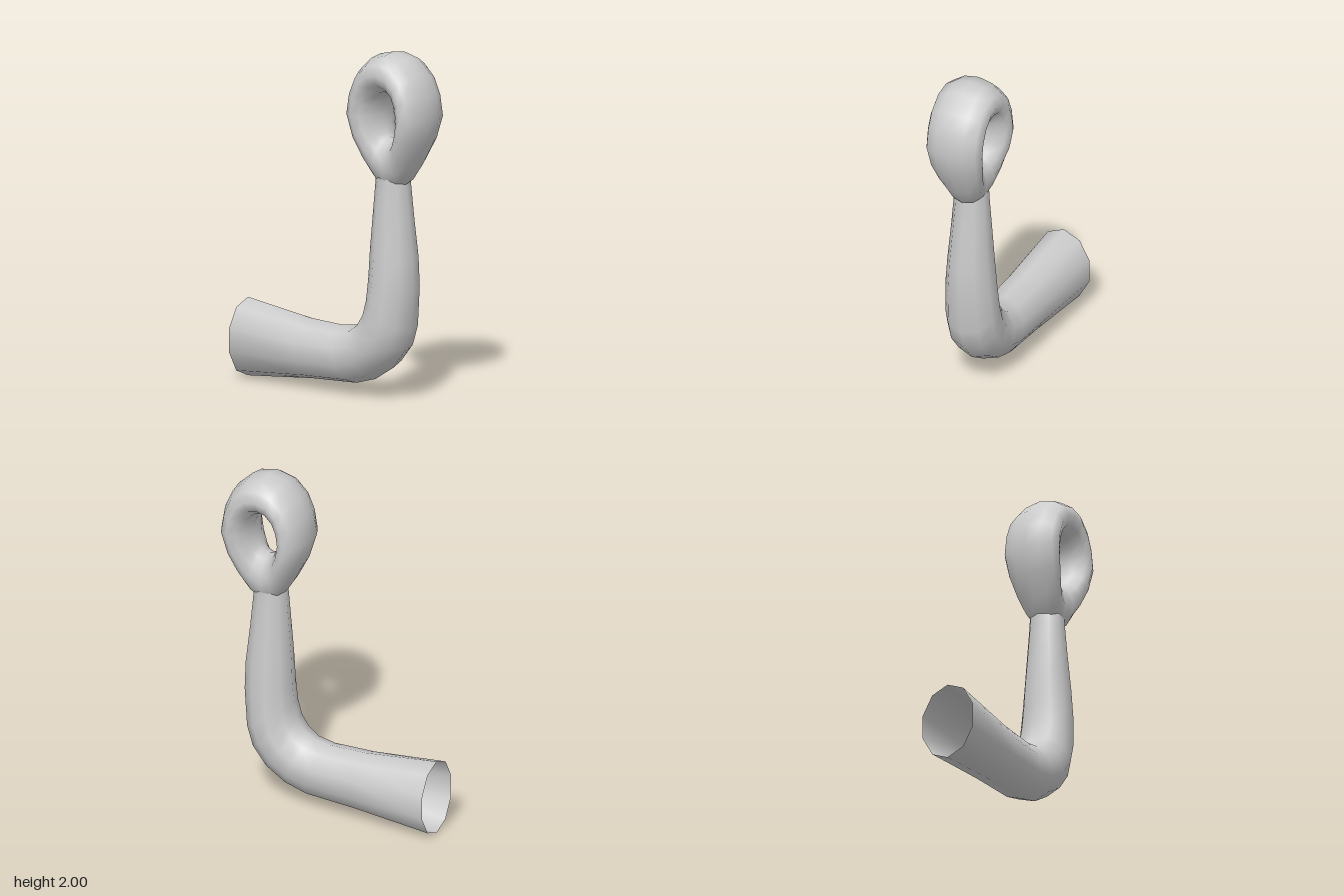
import * as THREE from 'three';

// Loft elliptical rings. Each station: [innerX, innerY, outerX, outerY, half depth in z].
function loft(stations, sides, closed) {
  const pos = [], index = [], n = stations.length;
  for (const [ax, ay, bx, by, w] of stations) {
    for (let j = 0; j < sides; j++) {
      const t = (j / sides) * Math.PI * 2, c = Math.cos(t) / 2;
      pos.push((ax + bx) / 2 + c * (bx - ax), (ay + by) / 2 + c * (by - ay), w * Math.sin(t));
    }
  }
  for (let i = 0; i < (closed ? n : n - 1); i++) {
    for (let j = 0; j < sides; j++) {
      const k = (j + 1) % sides, p = i * sides, q = ((i + 1) % n) * sides;
      index.push(p + j, q + j, p + k, p + k, q + j, q + k);
    }
  }
  const geo = new THREE.BufferGeometry();
  geo.setAttribute('position', new THREE.Float32BufferAttribute(pos, 3));
  geo.setIndex(index);
  geo.computeVertexNormals();
  return geo;
}

export function createModel() {
  const group = new THREE.Group();
  group.name = 'bentHook';
  const material = new THREE.MeshStandardMaterial({ color: 0xcccccc, side: THREE.DoubleSide });

  // Open-ended shank that bends upward and narrows to a neck
  const shank = new THREE.Mesh(loft([
    [-0.68, 0.45, -0.68, 0.0, 0.173],
    [-0.22, 0.39, -0.2, 0.045, 0.162],
    [0.02, 0.38, 0.12, 0.06, 0.158],
    [0.12, 0.395, 0.26, 0.1, 0.16],
    [0.18, 0.435, 0.39, 0.18, 0.163],
    [0.22, 0.495, 0.48, 0.29, 0.164],
    [0.243, 0.58, 0.52, 0.41, 0.16],
    [0.254, 0.7, 0.54, 0.65, 0.149],
    [0.26, 0.86, 0.537, 0.82, 0.135],
    [0.275, 1.05, 0.51, 1.05, 0.117],
    [0.29, 1.23, 0.492, 1.23, 0.103],
    [0.297, 1.29, 0.487, 1.29, 0.101],
  ], 10, false), material);
  shank.name = 'shank';
  shank.position.z = -0.004;
  group.add(shank);

  // Egg-shaped eye: right half from bottom to top, then mirrored
  const half = [
    [0, 1.5, 0, 1.2, 0.11],
    [0.035, 1.508, 0.09, 1.25, 0.122],
    [0.062, 1.53, 0.155, 1.35, 0.145],
    [0.085, 1.575, 0.222, 1.485, 0.168],
    [0.092, 1.63, 0.27, 1.64, 0.178],
    [0.088, 1.68, 0.245, 1.78, 0.178],
    [0.07, 1.725, 0.195, 1.89, 0.178],
    [0.04, 1.755, 0.105, 1.975, 0.178],
    [0, 1.765, 0, 2.0, 0.178],
  ];
  const mirrored = half.slice(1, -1).reverse().map(([a, b, c, d, w]) => [-a, b, -c, d, w]);
  const eye = new THREE.Mesh(loft([...half, ...mirrored], 12, true), material);
  eye.name = 'eye';
  eye.position.x = 0.405;
  group.add(eye);

  return group;
}
